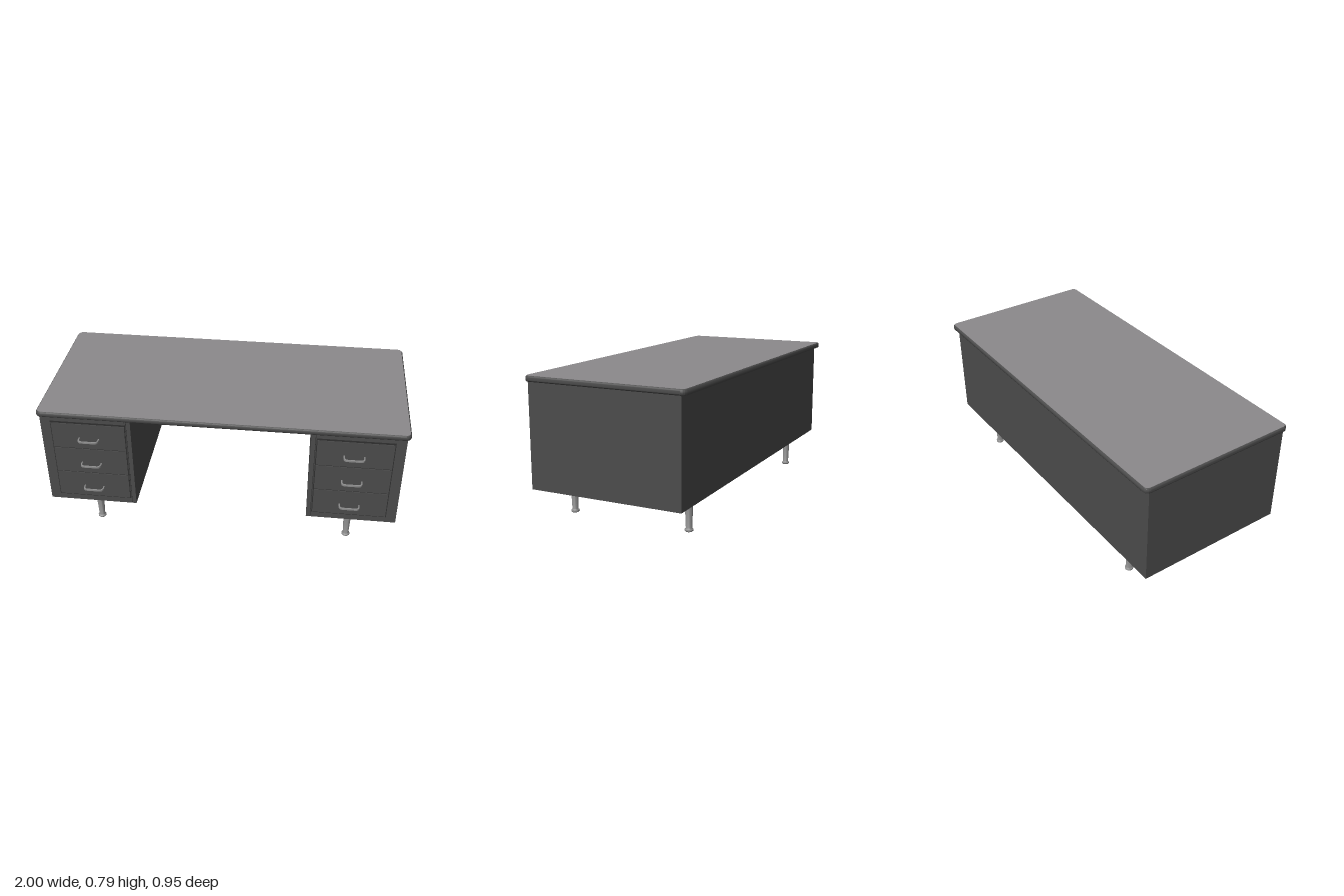
import * as THREE from 'three';
import { toCreasedNormals } from 'three/addons/utils/BufferGeometryUtils.js';

const mat = (name, color, opts = {}) => Object.assign(new THREE.MeshStandardMaterial({ color, ...opts }), { name });

// Rounded rectangle outline centred on the origin
function roundedRect(w, h, r) {
  const s = new THREE.Shape();
  const x = w / 2, y = h / 2, q = Math.PI / 2;
  s.absarc(x - r, y - r, r, 0, q);
  s.absarc(-x + r, y - r, r, q, 2 * q);
  s.absarc(-x + r, -y + r, r, 2 * q, 3 * q);
  s.absarc(x - r, -y + r, r, 3 * q, 4 * q);
  s.closePath();
  return s;
}

// U-shaped flat bar lying in the xz plane, open towards the drawer
function pullGeometry() {
  const w = 0.058, d = 0.042, t = 0.008, r = 0.025;
  const s = new THREE.Shape();
  s.moveTo(-w, 0);
  s.lineTo(-w, d - r);
  s.quadraticCurveTo(-w, d, -w + r, d);
  s.lineTo(w - r, d);
  s.quadraticCurveTo(w, d, w, d - r);
  s.lineTo(w, 0);
  s.lineTo(w - t, 0);
  s.lineTo(w - t, d - r);
  s.quadraticCurveTo(w - t, d - t, w - r, d - t);
  s.lineTo(-w + r, d - t);
  s.quadraticCurveTo(-w + t, d - t, -w + t, d - r);
  s.lineTo(-w + t, 0);
  s.closePath();
  const g = new THREE.ExtrudeGeometry(s, {
    depth: 0.008, bevelEnabled: true, bevelSize: 0.002, bevelThickness: 0.002, bevelOffset: -0.002, bevelSegments: 2, curveSegments: 8,
  });
  g.rotateX(Math.PI / 2).translate(0, 0.004, 0);
  return toCreasedNormals(g, 0.7);
}

export function createModel() {
  const desk = new THREE.Group();
  desk.name = 'desk';
  const body = mat('dark grey steel', 0x4c4c4c);
  const laminate = mat('grey laminate', 0x8c8a8c);
  const metal = mat('brushed metal', 0x8c8c8c);
  const shadowGap = mat('drawer gap', 0x303030);

  const add = (parent, name, geo, material, x = 0, y = 0, z = 0) => {
    const m = new THREE.Mesh(geo, material);
    m.name = name;
    m.position.set(x, y, z);
    parent.add(m);
    return m;
  };
  const box = (parent, name, material, [x0, x1], [y0, y1], [z0, z1]) =>
    add(parent, name, new THREE.BoxGeometry(x1 - x0, y1 - y0, z1 - z0), material,
      (x0 + x1) / 2, (y0 + y1) / 2, (z0 + z1) / 2);

  // Desktop: soft-edged slab with a laminate sheet on it
  const slab = new THREE.ExtrudeGeometry(roundedRect(2, 0.915, 0.03), {
    depth: 0.012, bevelEnabled: true, bevelSize: 0.01, bevelThickness: 0.01, bevelOffset: -0.01, bevelSegments: 4, curveSegments: 8,
  });
  slab.rotateX(-Math.PI / 2);
  add(desk, 'desktopEdge', toCreasedNormals(slab, 0.7), body, 0, 0.764, -0.0145);
  const sheet = new THREE.ExtrudeGeometry(roundedRect(1.986, 0.901, 0.024), { depth: 0.002, bevelEnabled: false, curveSegments: 8 });
  sheet.rotateX(-Math.PI / 2);
  add(desk, 'desktopSheet', sheet, laminate, 0, 0.785, -0.0145);

  // Modesty panel closing the kneehole at the back
  box(desk, 'modestyPanel', body, [-0.487, 0.487], [0.187, 0.756], [-0.44, -0.42]);

  const pull = pullGeometry();
  const legProfile = [[0, 0], [0.019, 0], [0.023, 0.004], [0.023, 0.011], [0.018, 0.015], [0.0165, 0.018], [0.023, 0.185], [0, 0.185]]
    .map(([x, y]) => new THREE.Vector2(x, y));
  const leg = toCreasedNormals(new THREE.LatheGeometry(legProfile, 24), 0.6);

  for (const side of [-1, 1]) {
    const pedestal = new THREE.Group();
    pedestal.name = side > 0 ? 'leftPedestal' : 'rightPedestal';
    desk.add(pedestal);
    const span = (a, b) => (side > 0 ? [a, b] : [-b, -a]);

    box(pedestal, 'cabinet', body, span(0.485, 0.982), [0.187, 0.756], [-0.44, 0.428]);
    box(pedestal, 'stileSeam', shadowGap, span(0.507, 0.51), [0.19, 0.756], [0.427, 0.4286]);
    box(pedestal, 'drawerGap', shadowGap, span(0.513, 0.927), [0.222, 0.727], [0.427, 0.4292]);

    // Pull-out writing board above the drawers
    box(pedestal, 'writingBoard', body, span(0.515, 0.925), [0.733, 0.757], [0.42, 0.436]);

    // Drawers and their pulls
    for (const y of [0.228, 0.393, 0.558]) {
      box(pedestal, 'drawerFront', body, span(0.518, 0.922), [y, y + 0.159], [0.42, 0.433]);
      add(pedestal, 'drawerPull', pull, metal, side * 0.718, y + 0.067, 0.432);
    }

    // Legs on square mounting plates
    for (const z of [0.344, -0.35]) {
      box(pedestal, 'legPlate', body, span(0.675, 0.769), [0.182, 0.188], [z - 0.046, z + 0.046]);
      add(pedestal, 'leg', leg, metal, side * 0.722, 0, z);
    }
  }
  return desk;
}
